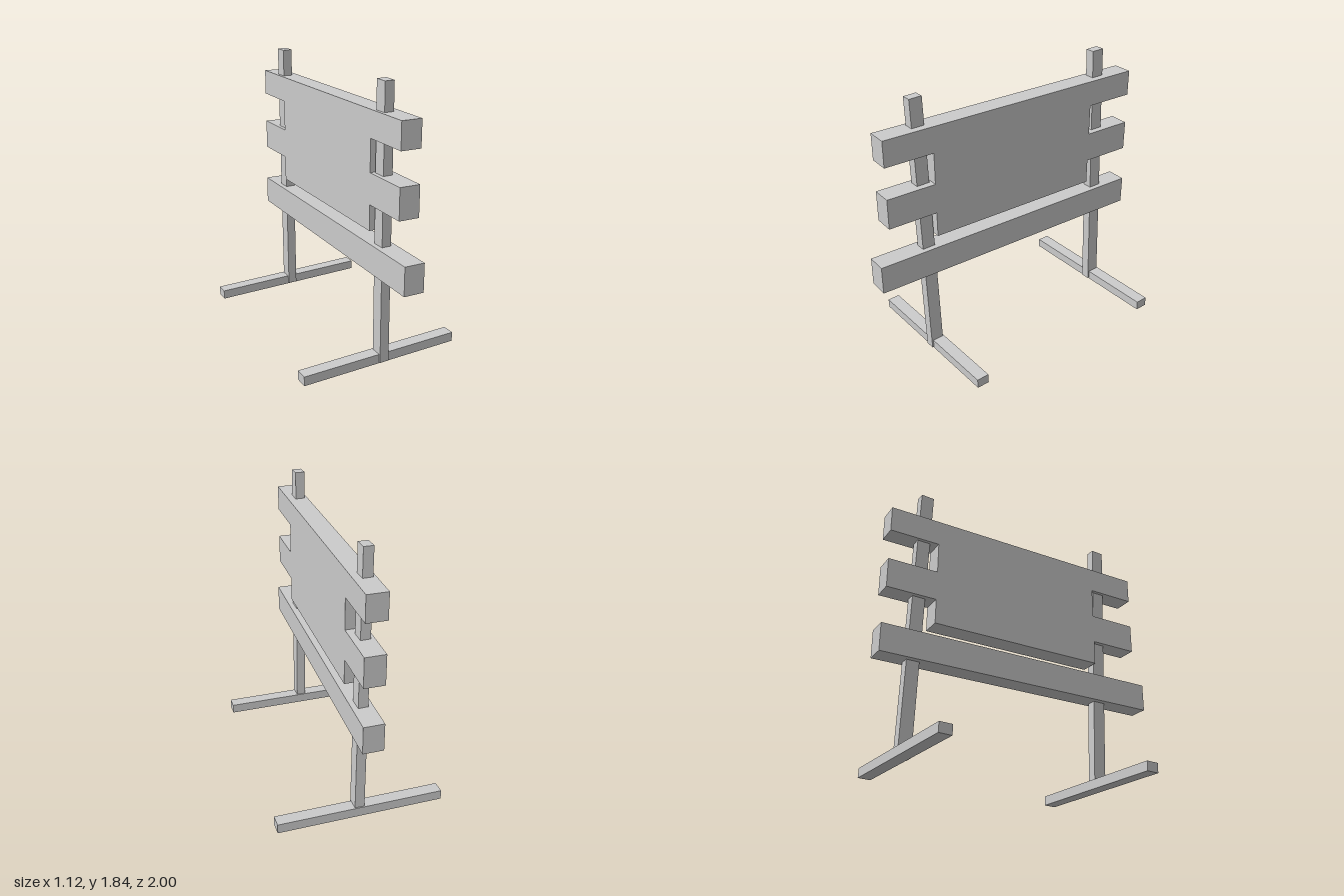
import * as THREE from 'three';

const material = new THREE.MeshStandardMaterial({ color: 0xcccccc, flatShading: true });
const THICK = 0.135;
const BOARD_X = -0.0025;

function box(name, w, h, d, x, y, z) {
  const mesh = new THREE.Mesh(new THREE.BoxGeometry(w, h, d), material);
  mesh.name = name;
  mesh.position.set(x, y, z);
  return mesh;
}

// Upright post on a cross foot, leaning slightly as one piece
function stand(name, z) {
  const group = new THREE.Group();
  group.name = name;
  group.add(box('foot', 1.113, 0.064, 0.085, 0, 0, 0));
  group.add(box('post', 0.064, 1.82, 0.088, 0.012, 0.885, 0.01));
  group.position.set(-0.0025, 0.045, z);
  group.rotation.set(0.0244, 0.029, 0.0165);
  return group;
}

// Sign board: central panel with two pairs of protruding rail ends, cut as one outline
function signBoard() {
  const front = 0.925, back = -0.985, panelFront = 0.59, panelBack = -0.645;
  const outline = [
    [panelBack, 0.902], [panelFront, 0.902], [panelFront, 1.07], [front, 1.07],
    [front, 1.272], [panelFront, 1.272], [panelFront, 1.482], [front, 1.482],
    [front, 1.655], [back, 1.655], [back, 1.482], [panelBack, 1.482],
    [panelBack, 1.272], [back, 1.272], [back, 1.07], [panelBack, 1.07],
  ];
  // Drawn in (-z, y), then turned so the extrusion runs along x
  const shape = new THREE.Shape(outline.map(([z, y]) => new THREE.Vector2(-z, y)));
  const geometry = new THREE.ExtrudeGeometry(shape, { depth: THICK, bevelEnabled: false });
  geometry.translate(0, 0, -THICK / 2);
  geometry.rotateY(Math.PI / 2);
  const mesh = new THREE.Mesh(geometry, material);
  mesh.name = 'signBoard';
  mesh.position.x = BOARD_X;
  return mesh;
}

export function createModel() {
  const model = new THREE.Group();
  model.name = 'standingSign';
  model.add(stand('frontStand', 0.611));
  model.add(stand('backStand', -0.788));
  model.add(signBoard());
  model.add(box('lowerRail', THICK, 0.188, 2, BOARD_X, 0.724, 0));
  return model;
}
